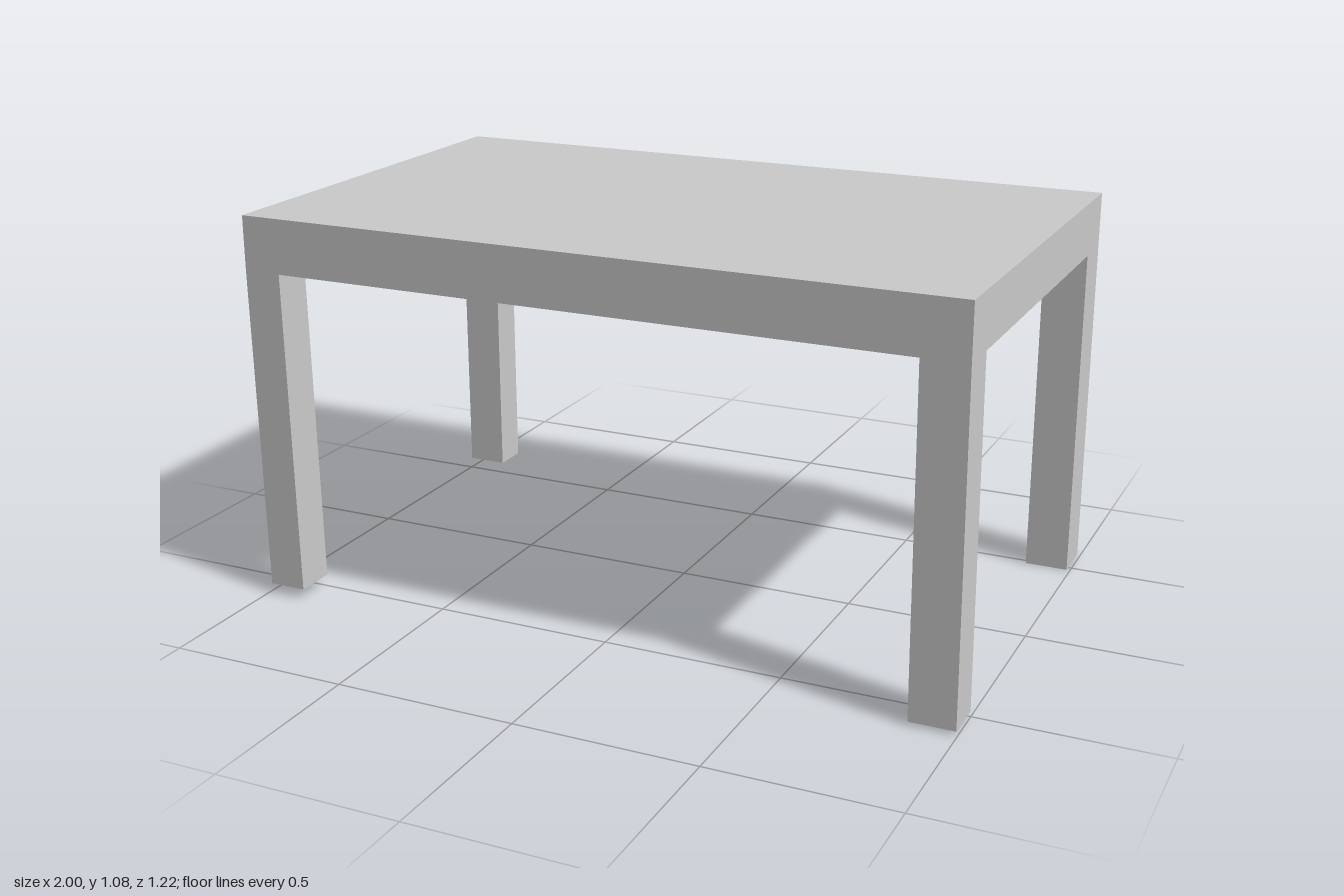
import * as THREE from 'three';

const material = new THREE.MeshStandardMaterial({ color: 0xcccccc, flatShading: true });
const TOP = 1.08, UNDERSIDE = 0.93;

// Box between two corners; its foot can be shifted sideways along x.
function block(name, [x0, x1], [y0, y1], [z0, z1], footShift = 0) {
  const geometry = new THREE.BoxGeometry(x1 - x0, y1 - y0, z1 - z0);
  geometry.translate((x0 + x1) / 2, (y0 + y1) / 2, (z0 + z1) / 2);
  const p = geometry.attributes.position;
  for (let i = 0; i < p.count; i++) {
    if (p.getY(i) < (y0 + y1) / 2) p.setX(i, p.getX(i) + footShift);
  }
  geometry.computeVertexNormals();
  const mesh = new THREE.Mesh(geometry, material);
  mesh.name = name;
  return mesh;
}

export function createModel() {
  const table = new THREE.Group();
  table.name = 'table';

  // Thick rectangular top
  table.add(block('tableTop', [-1, 0.99], [UNDERSIDE, TOP], [-0.608, 0.607]));

  // Four slightly uneven square legs, flush with the corners
  const legs = [
    { name: 'frontLeftLeg', x: [0.867, 0.99], z: [0.49, 0.607], foot: 0.01, shift: 0.006 },
    { name: 'frontRightLeg', x: [-1, -0.895], z: [0.492, 0.607], foot: 0.03, shift: 0.012 },
    { name: 'backLeftLeg', x: [0.87, 0.99], z: [-0.608, -0.482], foot: 0, shift: 0 },
    { name: 'backRightLeg', x: [-1, -0.885], z: [-0.608, -0.505], foot: 0.03, shift: 0 },
  ];
  for (const { name, x, z, foot, shift } of legs) {
    table.add(block(name, x, [foot, UNDERSIDE], z, shift));
  }
  return table;
}
